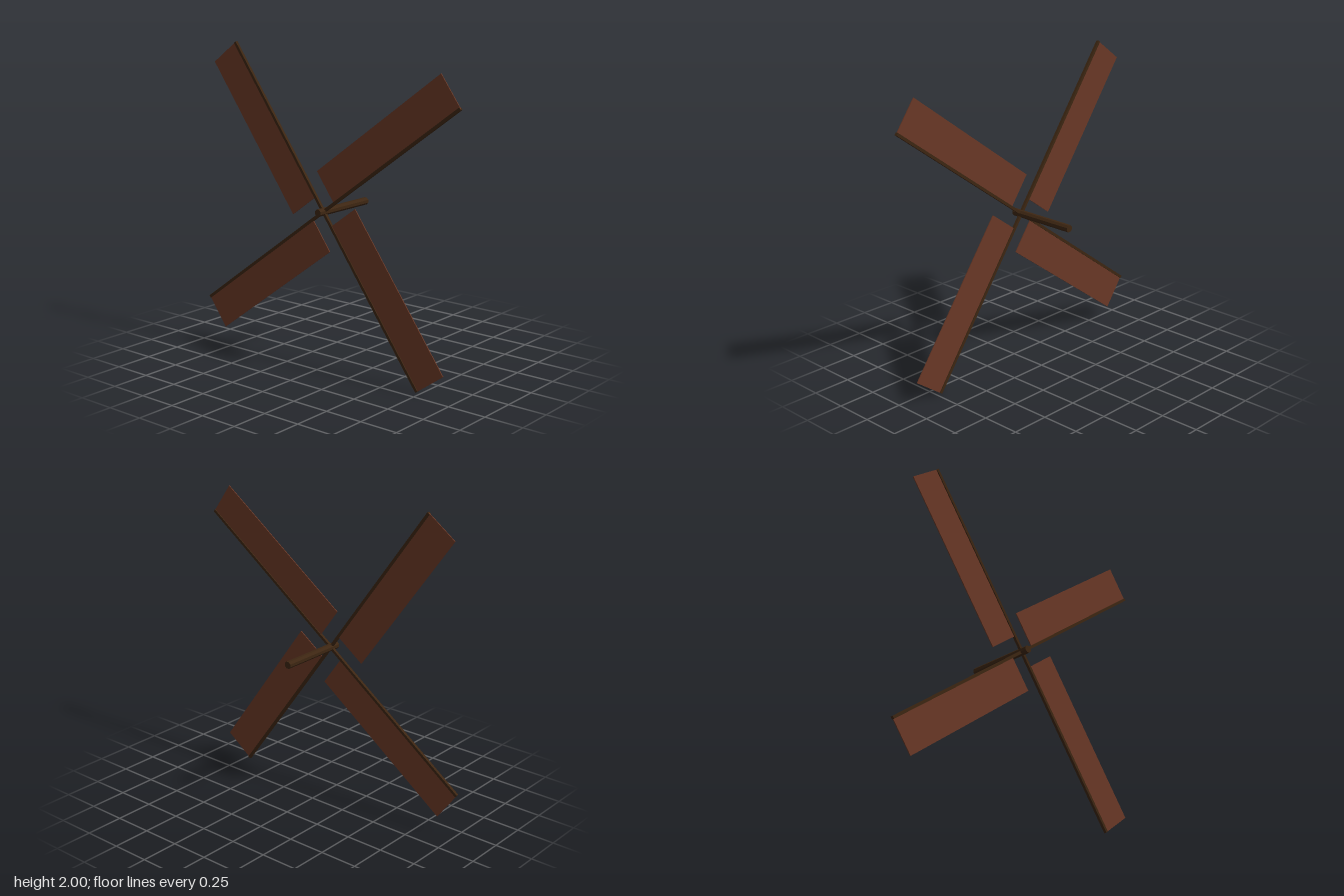
import * as THREE from 'three';

export function createModel() {
  const group = new THREE.Group();
  const sailBrown = new THREE.MeshStandardMaterial({ color: 0x6a3826 });
  sailBrown.name = 'sailBrown';
  const darkWood = new THREE.MeshStandardMaterial({ color: 0x3d2612 });
  darkWood.name = 'darkWood';
  darkWood.flatShading = true;

  const hubY = 1, sailZ = 0.18;
  const armLength = 1.232, sparSize = 0.018;
  const sailStart = 0.105, sailWidth = 0.23;

  // Octagonal axle running front to back
  const axleGeometry = new THREE.CylinderGeometry(0.024, 0.024, 0.47, 8);
  axleGeometry.rotateY(Math.PI / 8).rotateX(Math.PI / 2);
  const axle = new THREE.Mesh(axleGeometry, darkWood);
  axle.name = 'axle';
  axle.position.y = hubY;
  group.add(axle);

  // Each arm is a spar with a flat sail along its trailing side
  const sparGeometry = new THREE.BoxGeometry(armLength, sparSize, sparSize);
  sparGeometry.translate(armLength / 2, 0, 0);
  const sailLength = armLength - sailStart;
  const sailGeometry = new THREE.BoxGeometry(sailLength, sailWidth, 0.006);
  sailGeometry.translate(sailStart + sailLength / 2, sailWidth / 2, 0);

  for (let i = 0; i < 4; i++) {
    const arm = new THREE.Group();
    arm.name = `arm${i + 1}`;
    const spar = new THREE.Mesh(sparGeometry, darkWood);
    spar.name = 'spar';
    const sail = new THREE.Mesh(sailGeometry, sailBrown);
    sail.name = 'sail';
    arm.add(spar, sail);
    arm.position.set(0, hubY, sailZ);
    arm.rotation.z = THREE.MathUtils.degToRad(36 + 90 * i);
    group.add(arm);
  }
  return group;
}
